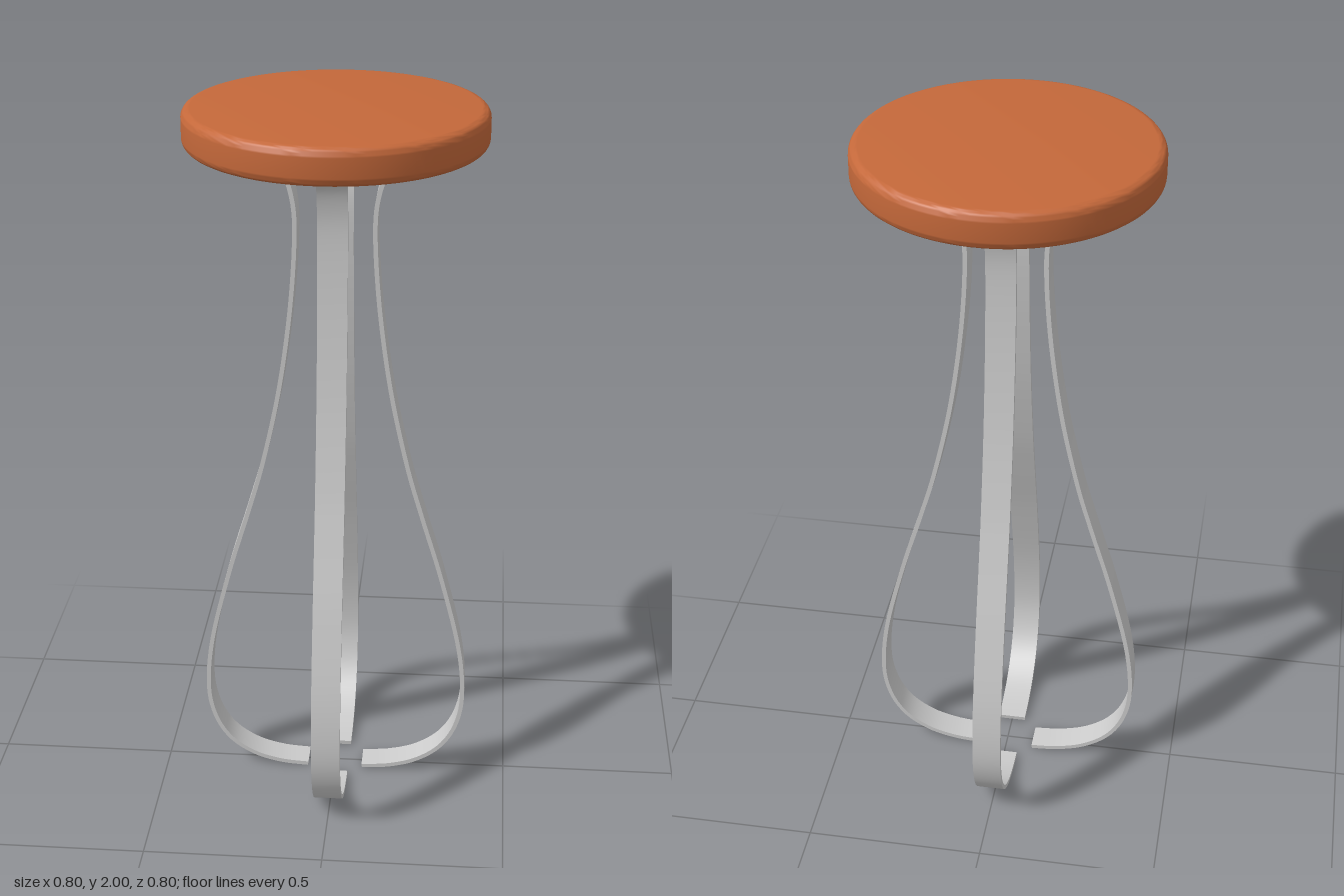
import * as THREE from 'three';
import { toCreasedNormals } from 'three/addons/utils/BufferGeometryUtils.js';

const steel = new THREE.MeshStandardMaterial({ color: 0xcccccc });
const seatMaterial = new THREE.MeshStandardMaterial({ color: 0xc4683a });

// Round disc with softened upper and lower rims
function createSeat() {
  const radius = 0.4, bottom = 1.9, top = 2, round = 0.024, steps = 8;
  const profile = [new THREE.Vector2(0, bottom)];
  const addCorner = (cy, start) => {
    for (let i = 0; i <= steps; i++) {
      const a = start + (i / steps) * Math.PI / 2;
      profile.push(new THREE.Vector2(radius - round + Math.cos(a) * round, cy + Math.sin(a) * round));
    }
  };
  addCorner(bottom + round, -Math.PI / 2);
  addCorner(top - round, 0);
  profile.push(new THREE.Vector2(0, top));
  const seat = new THREE.Mesh(toCreasedNormals(new THREE.LatheGeometry(profile, 96), 0.6), seatMaterial);
  seat.name = 'seat';
  return seat;
}

// Flat strap: a bent centre line thickened both ways, then extruded to its width
function createLegGeometry() {
  const width = 0.08, half = 0.006, steps = 120;
  const path = new THREE.SplineCurve([
    [0.08, 0.007], [0.16, 0.014], [0.24, 0.038], [0.31, 0.088], [0.355, 0.165], [0.372, 0.27],
    [0.356, 0.43], [0.302, 0.65], [0.245, 0.84], [0.2, 1.0], [0.153, 1.22], [0.121, 1.45],
    [0.107, 1.65], [0.113, 1.76], [0.143, 1.84], [0.21, 1.88], [0.33, 1.894],
  ].map(([x, y]) => new THREE.Vector2(x, y)));
  const outer = [], inner = [];
  for (let i = 0; i <= steps; i++) {
    const p = path.getPointAt(i / steps), t = path.getTangentAt(i / steps);
    const n = new THREE.Vector2(t.y, -t.x).multiplyScalar(half);
    outer.push(p.clone().add(n));
    inner.unshift(p.clone().sub(n));
  }
  const geometry = new THREE.ExtrudeGeometry(new THREE.Shape([...outer, ...inner]), {
    depth: width, bevelEnabled: false,
  });
  geometry.translate(0, 0, -width / 2);
  return toCreasedNormals(geometry, 0.6);
}

export function createModel() {
  const model = new THREE.Group();
  model.name = 'stool';
  model.add(createSeat());

  // Four identical legs, a quarter turn apart
  const legGeometry = createLegGeometry();
  ['leftLeg', 'backLeg', 'rightLeg', 'frontLeg'].forEach((name, i) => {
    const leg = new THREE.Mesh(legGeometry, steel);
    leg.name = name;
    leg.rotation.y = i * Math.PI / 2;
    model.add(leg);
  });
  return model;
}
